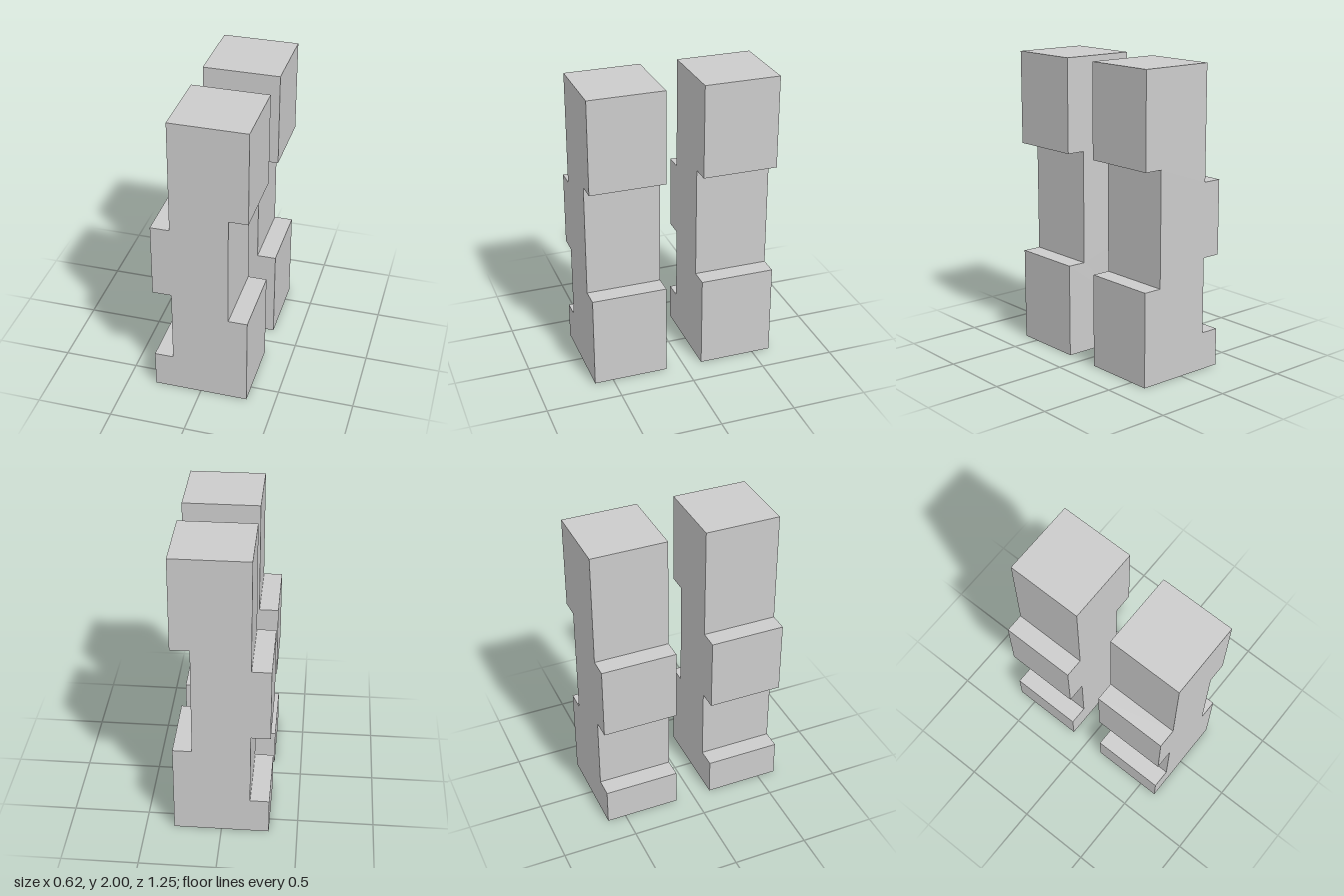
import * as THREE from 'three';

// Half-width steps of the notched side profile
const OUTER = 0.3125, INNER = 0.1875;
const DEPTH = 0.5, GAP = 0.25;

// Notched outline, counter-clockwise from the lower right-hand corner
function postShape() {
  return new THREE.Shape([
    [-OUTER, 0], [OUTER, 0],
    [OUTER, 0.625], [INNER, 0.625], [INNER, 1.38], [OUTER, 1.38],
    [OUTER, 2], [-INNER, 2],
    [-INNER, 1.25], [-OUTER, 1.25], [-OUTER, 0.755], [-INNER, 0.755],
    [-INNER, 0.25], [-OUTER, 0.25],
  ].map(([x, y]) => new THREE.Vector2(x, y)));
}

export function createModel() {
  const group = new THREE.Group();
  group.name = 'notchedPosts';

  const material = new THREE.MeshStandardMaterial({ color: 0xcccccc, flatShading: true });
  const geometry = new THREE.ExtrudeGeometry(postShape(), { depth: DEPTH, bevelEnabled: false });

  // Two identical posts, one behind the other
  for (const [name, z] of [['frontPost', GAP / 2], ['backPost', -GAP / 2 - DEPTH]]) {
    const post = new THREE.Mesh(geometry, material);
    post.name = name;
    post.position.z = z;
    group.add(post);
  }
  return group;
}
